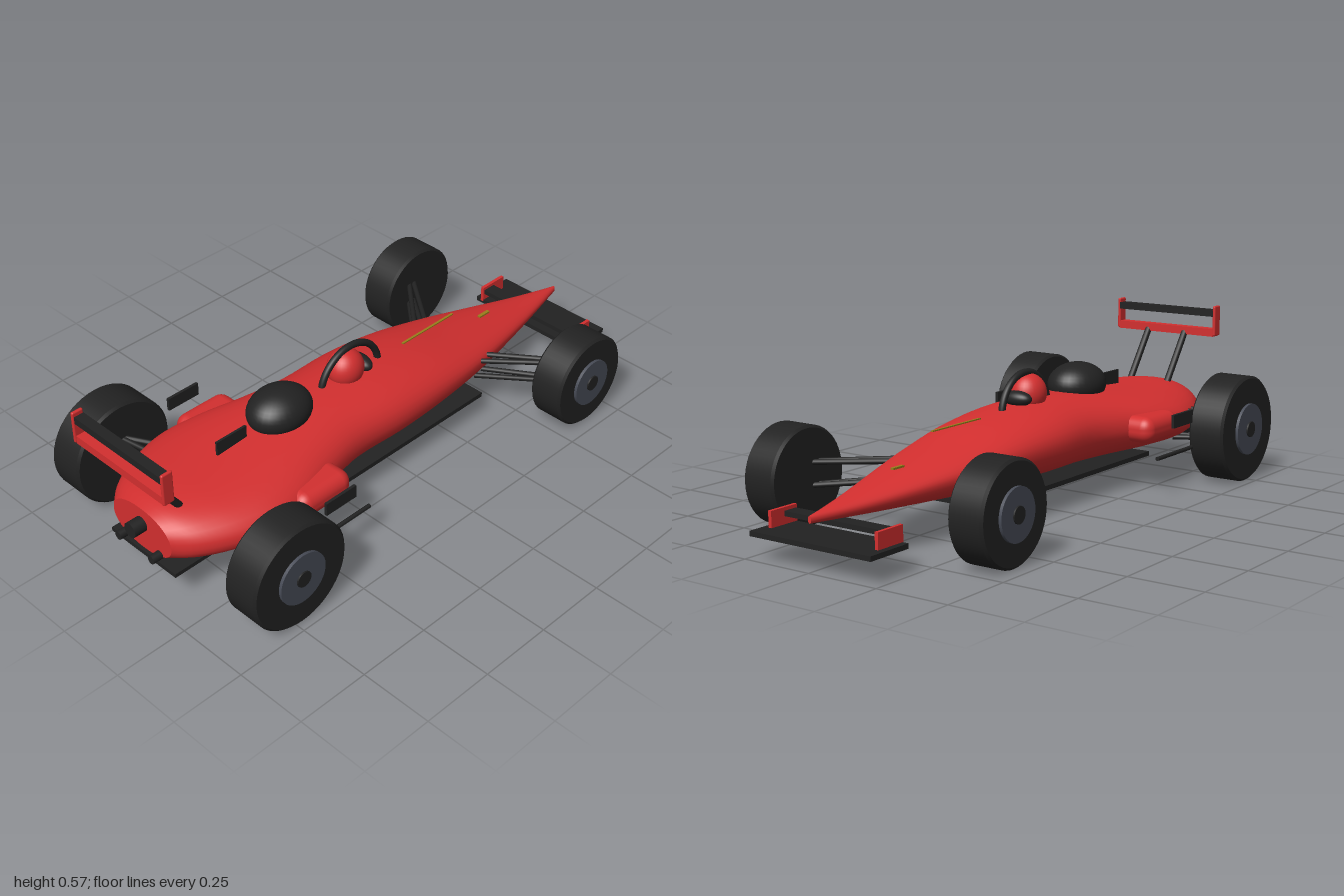
import * as THREE from 'three';
import { RoundedBoxGeometry } from 'three/addons/geometries/RoundedBoxGeometry.js';

const mat = (name, color) => new THREE.MeshStandardMaterial({ name, color });

// Lofted hull: stations of [x, halfWidth, top, waist, bottom], nose towards +x
function hullGeometry() {
  const stations = [
    [-0.935, 0.135, 0.285, 0.205, 0.13], [-0.88, 0.19, 0.298, 0.205, 0.12], [-0.8, 0.238, 0.305, 0.205, 0.113],
    [-0.71, 0.272, 0.308, 0.205, 0.108], [-0.62, 0.287, 0.312, 0.205, 0.105], [-0.5, 0.272, 0.32, 0.208, 0.102],
    [-0.35, 0.228, 0.331, 0.212, 0.1], [-0.2, 0.2, 0.336, 0.216, 0.1], [0, 0.205, 0.33, 0.217, 0.1],
    [0.2, 0.193, 0.306, 0.213, 0.103], [0.4, 0.163, 0.264, 0.2, 0.11], [0.6, 0.115, 0.226, 0.182, 0.12],
    [0.8, 0.06, 0.192, 0.164, 0.131], [0.99, 0.006, 0.166, 0.154, 0.143],
  ];
  const curveOf = k => new THREE.CatmullRomCurve3(stations.map(s => new THREE.Vector3(s[0], s[k], 0)));
  const curves = [1, 2, 3, 4].map(curveOf);
  const rings = 52, sides = 36, pos = [], idx = [];
  for (let i = 0; i <= rings; i++) {
    const [w, top, mid, bot] = curves.map(c => c.getPoint(i / rings).y);
    const x = curves[0].getPoint(i / rings).x;
    for (let j = 0; j < sides; j++) {
      const a = (j / sides) * Math.PI * 2, c = Math.cos(a), s = Math.sin(a);
      const z = w * Math.sign(c) * Math.pow(Math.abs(c), 0.92);
      const y = mid + (s > 0 ? (top - mid) : (mid - bot)) * Math.sign(s) * Math.pow(Math.abs(s), 0.92);
      pos.push(x, y, z);
    }
  }
  for (let i = 0; i < rings; i++) for (let j = 0; j < sides; j++) {
    const a = i * sides + j, b = i * sides + (j + 1) % sides;
    idx.push(a, a + sides, b, b, a + sides, b + sides);
  }
  // end caps with their own vertices
  for (const [ring, front] of [[0, false], [rings, true]]) {
    const base = pos.length / 3, start = ring * sides;
    for (let j = 0; j < sides; j++) pos.push(...pos.slice((start + j) * 3, (start + j) * 3 + 3));
    pos.push(pos[start * 3], pos[start * 3 + 1], 0);
    for (let j = 0; j < sides; j++) {
      const a = base + j, b = base + (j + 1) % sides;
      idx.push(base + sides, front ? b : a, front ? a : b);
    }
  }
  const g = new THREE.BufferGeometry();
  g.setAttribute('position', new THREE.Float32BufferAttribute(pos, 3));
  g.setIndex(idx);
  g.computeVertexNormals();
  return g;
}

export function createModel() {
  const car = new THREE.Group();
  car.name = 'racingCar';
  const red = mat('bodyRed', 0xd32f2f), black = mat('matteBlack', 0x222222);
  const grey = mat('rimGrey', 0x474b56), gold = mat('gold', 0x9a7d1c);

  const add = (name, geo, material, x = 0, y = 0, z = 0, parent = car) => {
    const m = new THREE.Mesh(geo, material);
    m.name = name;
    m.position.set(x, y, z);
    parent.add(m);
    return m;
  };
  const box = (name, material, w, h, d, x, y, z) =>
    add(name, new THREE.BoxGeometry(w, h, d), material, x, y, z);
  const ball = (name, material, rx, ry, rz, x, y, z) =>
    add(name, new THREE.SphereGeometry(1, 32, 20), material, x, y, z).scale.set(rx, ry, rz);
  const rod = (name, a, b, r) => {
    const p = new THREE.Vector3(...a), q = new THREE.Vector3(...b);
    const m = add(name, new THREE.CylinderGeometry(r, r, p.distanceTo(q), 12), black);
    m.position.copy(p).lerp(q, 0.5);
    m.quaternion.setFromUnitVectors(new THREE.Vector3(0, 1, 0), q.sub(p).normalize());
  };

  // Hull, airbox, fin and cockpit
  add('hull', hullGeometry(), red);
  ball('airbox', black, 0.115, 0.075, 0.095, -0.37, 0.348, 0);
  box('engineFin', black, 0.12, 0.065, 0.008, -0.572, 0.328, 0);
  ball('helmet', red, 0.065, 0.066, 0.06, -0.08, 0.358, 0);
  ball('visor', black, 0.03, 0.026, 0.055, -0.017, 0.349, 0);
  add('rollHoop', new THREE.TorusGeometry(0.13, 0.012, 12, 40, Math.PI), black, -0.06, 0.3, 0);
  box('noseStripe', gold, 0.245, 0.004, 0.008, 0.31, 0.315, 0);
  box('noseMark', gold, 0.05, 0.006, 0.012, 0.6, 0.233, 0);

  // Floor and skid
  box('floor', black, 0.94, 0.016, 0.37, -0.08, 0.092, 0);
  add('skid', new RoundedBoxGeometry(0.315, 0.038, 0.014, 2, 0.006), black, -0.06, 0.046, 0);

  // Front wing
  box('frontWing', black, 0.165, 0.016, 0.46, 0.915, 0.08, 0);
  box('frontFlap', black, 0.05, 0.016, 0.4, 0.86, 0.121, 0);

  // Rear wing, diffuser and gearbox
  box('rearWingPlane', red, 0.035, 0.028, 0.4, -0.978, 0.468, 0);
  box('rearWingFlap', black, 0.035, 0.024, 0.4, -0.978, 0.539, 0);
  box('diffuser', black, 0.16, 0.014, 0.3, -0.86, 0.113, 0);
  const gearbox = add('gearbox', new THREE.CylinderGeometry(0.026, 0.026, 0.1, 20), black, -0.93, 0.225, 0);
  gearbox.rotation.z = Math.PI / 2;

  // Wheel: bevelled tyre, rim disc and hub, facing +z before mirroring
  const wheel = (name, r, width, rimR, x, z, s) => {
    const g = new THREE.Group();
    g.name = name;
    g.position.set(x, r, z * s);
    g.rotation.x = s * Math.PI / 2;
    car.add(g);
    const h = width / 2, b = 0.008;
    const profile = [[0, -h], [r - b, -h], [r - b, -h], [r, b - h], [r, b - h], [r, h - b], [r, h - b], [r - b, h], [r - b, h], [0, h]];
    add('tyre', new THREE.LatheGeometry(profile.map(p => new THREE.Vector2(...p)), 48), black, 0, 0, 0, g);
    add('rim', new THREE.CylinderGeometry(rimR, rimR, 0.02, 36), grey, 0, h, 0, g);
    add('hub', new THREE.CylinderGeometry(0.027, 0.027, 0.03, 20), black, 0, h, 0, g);
  };

  // Everything that comes in left and right pairs
  for (const s of [1, -1]) {
    const side = s > 0 ? 'left' : 'right';
    wheel(side + 'RearWheel', 0.184, 0.13, 0.089, -0.73, 0.408, s);
    wheel(side + 'FrontWheel', 0.163, 0.122, 0.083, 0.628, 0.395, s);

    add(side + 'Sidepod', new RoundedBoxGeometry(0.215, 0.09, 0.13, 4, 0.04), red, -0.453, 0.214, s * 0.242);
    box(side + 'SidePlate', black, 0.125, 0.045, 0.01, -0.463, 0.25, s * 0.365);
    rod(side + 'SideBar', [-0.62, 0.135, s * 0.352], [-0.325, 0.135, s * 0.352], 0.007);

    // suspension wishbones
    for (const [y, inner] of [[0.205, 0.206], [0.13, 0.145]]) {
      rod(side + 'FrontArm', [0.4, inner, s * 0.14], [0.6, y, s * 0.36], 0.009);
      rod(side + 'FrontArm', [0.445, inner, s * 0.13], [0.62, y, s * 0.36], 0.009);
    }
    for (const y of [0.232, 0.138]) {
      rod(side + 'RearArm', [-0.65, y, s * 0.22], [-0.73, y, s * 0.37], 0.009);
      rod(side + 'RearArm', [-0.705, y, s * 0.22], [-0.73, y, s * 0.37], 0.009);
    }

    box(side + 'FrontEndPlate', red, 0.11, 0.058, 0.012, 0.885, 0.111, s * 0.203);
    add(side + 'RearEndPlate', new RoundedBoxGeometry(0.04, 0.11, 0.012, 2, 0.005), red, -0.98, 0.511, s * 0.202);
    rod(side + 'RearWingStrut', [-0.97, 0.462, s * 0.077], [-0.84, 0.28, s * 0.077], 0.012);
    rod(side + 'Exhaust', [-0.97, 0.15, s * 0.077], [-0.85, 0.15, s * 0.077], 0.015);
  }
  return car;
}
